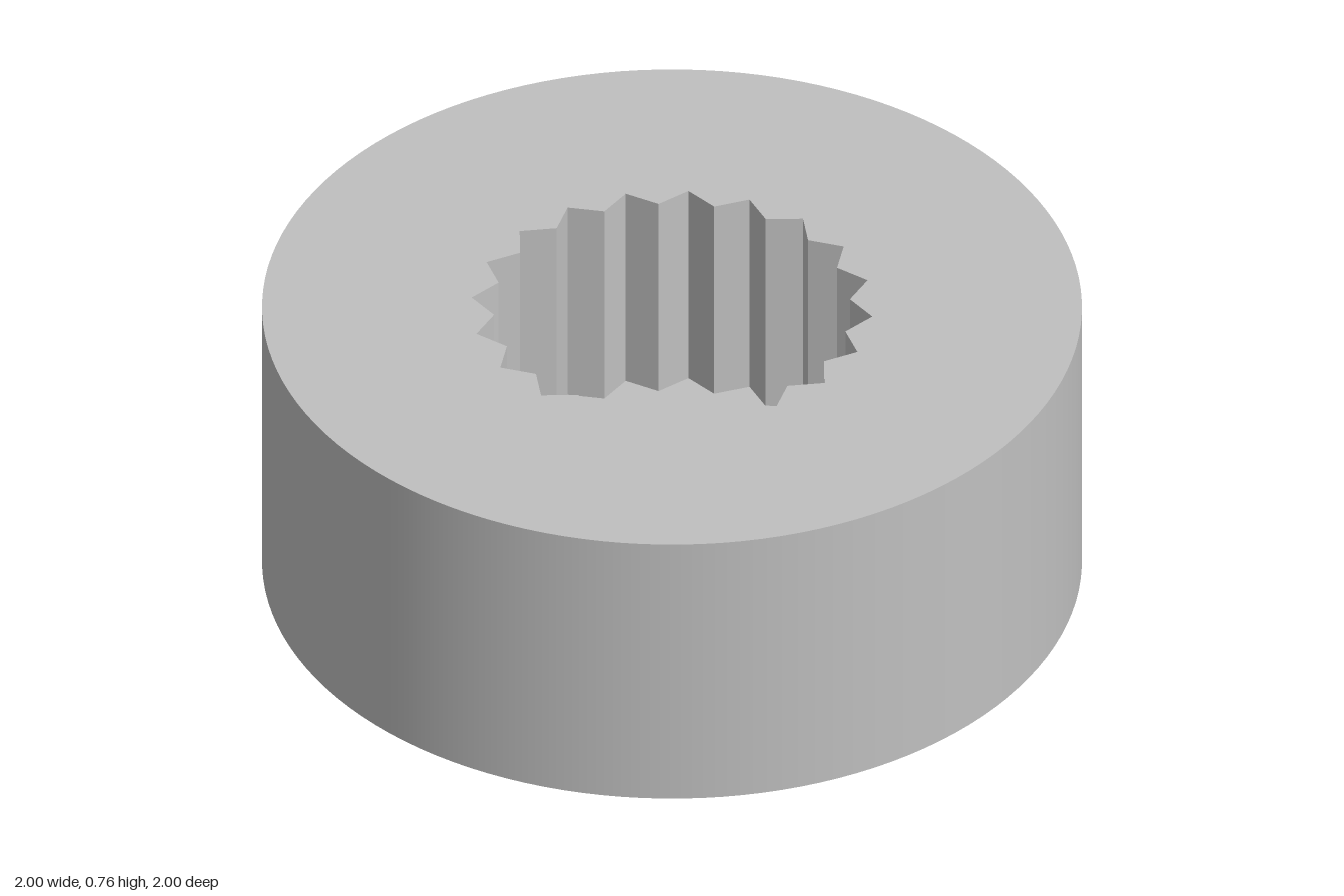
import * as THREE from 'three';

const HEIGHT = 0.76, FLOOR = 0.2, RADIUS = 1;
const TEETH = 20, TIP = 0.49, ROOT = 0.435, SIDES = 128;

// Toothed outline of the socket: tips and roots alternate
function splinePoints() {
  return Array.from({ length: TEETH * 2 }, (_, i) => {
    const a = (i * Math.PI) / TEETH, r = i % 2 ? ROOT : TIP;
    return new THREE.Vector2(r * Math.sin(a), r * Math.cos(a));
  });
}

export function createModel() {
  const group = new THREE.Group();
  const grey = new THREE.MeshStandardMaterial({ color: 0xc0c0c0 });
  grey.name = 'lightGrey';
  const add = (name, geometry, y) => {
    const mesh = new THREE.Mesh(geometry, grey);
    mesh.name = name;
    mesh.position.y = y;
    group.add(mesh);
  };

  // Smooth outer wall and closed underside
  add('outerWall', new THREE.CylinderGeometry(RADIUS, RADIUS, HEIGHT, SIDES, 1, true), HEIGHT / 2);
  add('underside', new THREE.CircleGeometry(RADIUS, SIDES).rotateX(Math.PI / 2), 0);

  // Top face with the toothed opening
  const disc = new THREE.Shape().absarc(0, 0, RADIUS, 0, Math.PI * 2);
  disc.holes.push(new THREE.Path(splinePoints()));
  add('topFace', new THREE.ShapeGeometry(disc, SIDES / 2).rotateX(-Math.PI / 2), HEIGHT);

  // Socket wall: a tube with alternate edges pulled in, facing inward
  const depth = HEIGHT - FLOOR;
  let wall = new THREE.CylinderGeometry(1, 1, depth, TEETH * 2, 1, true);
  const pos = wall.attributes.position;
  for (let i = 0; i < pos.count; i++) {
    const r = (i % (TEETH * 2 + 1)) % 2 ? ROOT : TIP;
    pos.setXYZ(i, pos.getX(i) * r, pos.getY(i), pos.getZ(i) * r);
  }
  wall.index.array.reverse();
  wall = wall.toNonIndexed();
  wall.computeVertexNormals();
  add('socketWall', wall, FLOOR + depth / 2);

  // Socket floor
  add('socketFloor', new THREE.ShapeGeometry(new THREE.Shape(splinePoints())).rotateX(-Math.PI / 2), FLOOR);

  return group;
}
